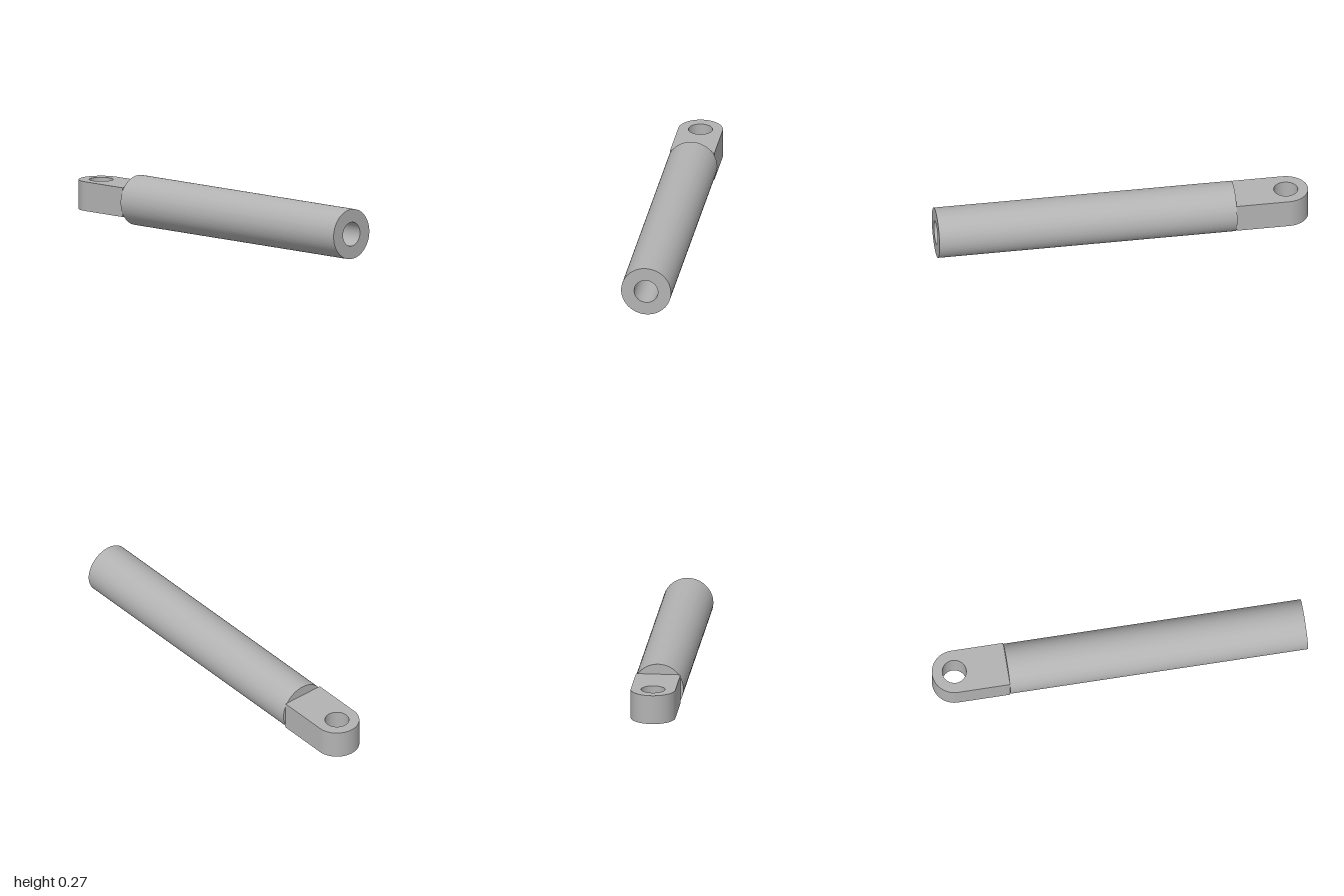
import * as THREE from 'three';

const SHOULDER_X = -0.6, RADIUS = 0.134, BORE = 0.064;
const TANG_HALF_WIDTH = 0.119, TANG_HEIGHT = 0.157;

const circle = (x, r) => new THREE.Path().absarc(x, 0, r, 0, Math.PI * 2, true);
const extrude = (shape, depth) =>
  new THREE.ExtrudeGeometry(shape, { depth, bevelEnabled: false, curveSegments: 32 });

export function createModel() {
  const group = new THREE.Group();
  group.name = 'rodEnd';
  const steel = new THREE.MeshStandardMaterial({ color: 0xb3b3b3 });
  steel.name = 'steelGrey';

  const add = (name, geometry) => {
    const mesh = new THREE.Mesh(geometry, steel);
    mesh.name = name;
    group.add(mesh);
  };

  // Round barrel along x, with an axial bore closed off by the tang
  const ring = new THREE.Shape();
  ring.absarc(0, 0, RADIUS, 0, Math.PI * 2, false);
  ring.holes.push(circle(0, BORE));
  add('barrel', extrude(ring, 1 - SHOULDER_X)
    .rotateY(Math.PI / 2)
    .translate(SHOULDER_X, RADIUS, 0));

  // Flat tang with a rounded end and a vertical pin hole
  const eyeX = -1 + TANG_HALF_WIDTH;
  const tang = new THREE.Shape();
  tang.moveTo(SHOULDER_X, -TANG_HALF_WIDTH);
  tang.lineTo(SHOULDER_X, TANG_HALF_WIDTH);
  tang.lineTo(eyeX, TANG_HALF_WIDTH);
  tang.absarc(eyeX, 0, TANG_HALF_WIDTH, Math.PI / 2, Math.PI * 1.5, false);
  tang.closePath();
  tang.holes.push(circle(eyeX, BORE));
  add('eyeTang', extrude(tang, TANG_HEIGHT)
    .rotateX(-Math.PI / 2)
    .translate(0, RADIUS - TANG_HEIGHT / 2, 0));

  return group;
}
